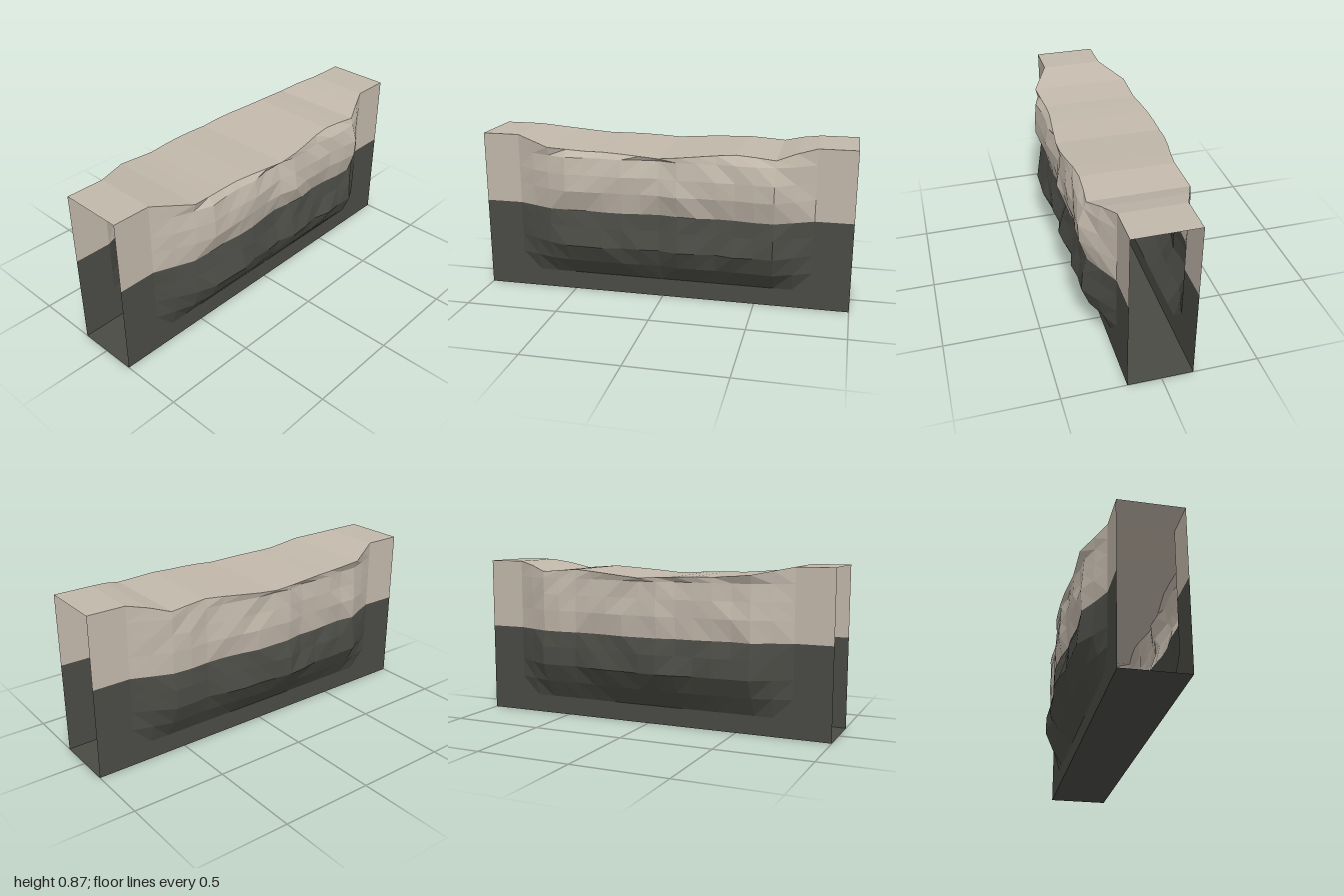
import * as THREE from 'three';

// Columns run along x every 0.1; tables cover the bulge from x = -0.6 to 0.6
const COLS = Array.from({ length: 21 }, (_, i) => -1 + i * 0.1);
const TOP_Y = [0.865, 0.865, 0.865, 0.845, 0.825, 0.817, 0.81, 0.81, 0.807, 0.802, 0.797,
  0.806, 0.815, 0.823, 0.83, 0.823, 0.815, 0.845, 0.865, 0.865, 0.865];
const ROWS = [0, 0.1, 0.2, 0.3, 0.4, 0.485, 0.6, 0.69, 0.78, null]; // null is the top edge
const SPLIT = 5; // row where the two colours meet

const SIDES = {
  front: {
    dir: 1, base: 0.173, peak: 0.142, seed: 7,
    rows: [0, 0, 0.085, 0.147, 0.117, 0.102, 0.142, 0.142, 0.127],
    wave: [0.285, 0.305, 0.305, 0.305, 0.305, 0.29, 0.28, 0.305, 0.305, 0.295, 0.3, 0.305, 0.315],
    edge: [0.27, 0.26, 0.25, 0.25, 0.26, 0.27, 0.28, 0.28, 0.27, 0.255, 0.25, 0.255, 0.265],
  },
  back: {
    dir: -1, base: 0.162, peak: 0.158, seed: 23,
    rows: [0, 0, 0.08, 0.156, 0.148, 0.123, 0.138, 0.133, 0.125],
    wave: [0.28, 0.28, 0.29, 0.295, 0.305, 0.32, 0.315, 0.31, 0.3, 0.28, 0.27, 0.275, 0.28],
    edge: [0.265, 0.265, 0.265, 0.275, 0.285, 0.29, 0.29, 0.285, 0.27, 0.25, 0.235, 0.24, 0.245],
  },
};

// Repeatable value from 0 to 1
function noise(i, j, seed) {
  const n = Math.sin(i * 12.99 + j * 78.23 + seed * 3.7) * 43758.5453;
  return n - Math.floor(n);
}

// Point of a rough wall at column i, row j
function wallPoint(side, i, j) {
  const x = COLS[i];
  const ramp = THREE.MathUtils.clamp((0.8 - Math.abs(x)) / 0.2, 0, 1);
  const k = THREE.MathUtils.clamp(i - 4, 0, 12);
  const y = ROWS[j] ?? TOP_Y[i];
  let depth;
  if (ROWS[j] === null) {
    depth = side.edge[k] - side.base;
  } else {
    const rough = j > 2 ? 1 - 0.18 * noise(i, j, side.seed) : 1;
    depth = side.rows[j] * (side.wave[k] - side.base) / side.peak * rough;
  }
  return [x, y, side.dir * (side.base + ramp * depth)];
}

// Faceted sheet through a grid of points
function sheet(name, point, nu, v0, v1, material, flip = false) {
  const pos = [];
  const tri = (a, b, c) => pos.push(...a, ...(flip ? c : b), ...(flip ? b : c));
  for (let i = 0; i < nu; i++) {
    for (let j = v0; j < v1; j++) {
      const a = point(i, j), b = point(i + 1, j), c = point(i + 1, j + 1), d = point(i, j + 1);
      if ((i < nu / 2) === (j < SPLIT)) { tri(a, b, d); tri(b, c, d); }
      else { tri(a, b, c); tri(a, c, d); }
    }
  }
  const geo = new THREE.BufferGeometry();
  geo.setAttribute('position', new THREE.Float32BufferAttribute(pos, 3));
  geo.computeVertexNormals();
  const mesh = new THREE.Mesh(geo, material);
  mesh.name = name;
  return mesh;
}

export function createModel() {
  const model = new THREE.Group();
  model.name = 'hollowBarrier';
  const mat = (name, color) => {
    const m = new THREE.MeshStandardMaterial({ color, side: THREE.DoubleSide });
    m.name = name;
    return m;
  };
  const beige = mat('paleStone', 0xc2b8ab);
  const dark = mat('darkStone', 0x4a4a45);
  const last = ROWS.length - 1;

  // Bulging walls, dark below and pale above
  for (const [name, side] of Object.entries(SIDES)) {
    const point = (i, j) => wallPoint(side, i, j);
    const flip = side.dir < 0;
    model.add(sheet(name + 'LowerWall', point, 20, 0, SPLIT, dark, flip));
    model.add(sheet(name + 'UpperWall', point, 20, SPLIT, last, beige, flip));
  }

  // Sagging top and flat floor join the walls; both ends stay open
  const across = (row) => (i, j) => wallPoint(j === 0 ? SIDES.front : SIDES.back, i, row);
  model.add(sheet('top', across(last), 20, 0, 1, beige));
  model.add(sheet('floor', across(0), 20, 0, 1, dark, true));
  return model;
}
